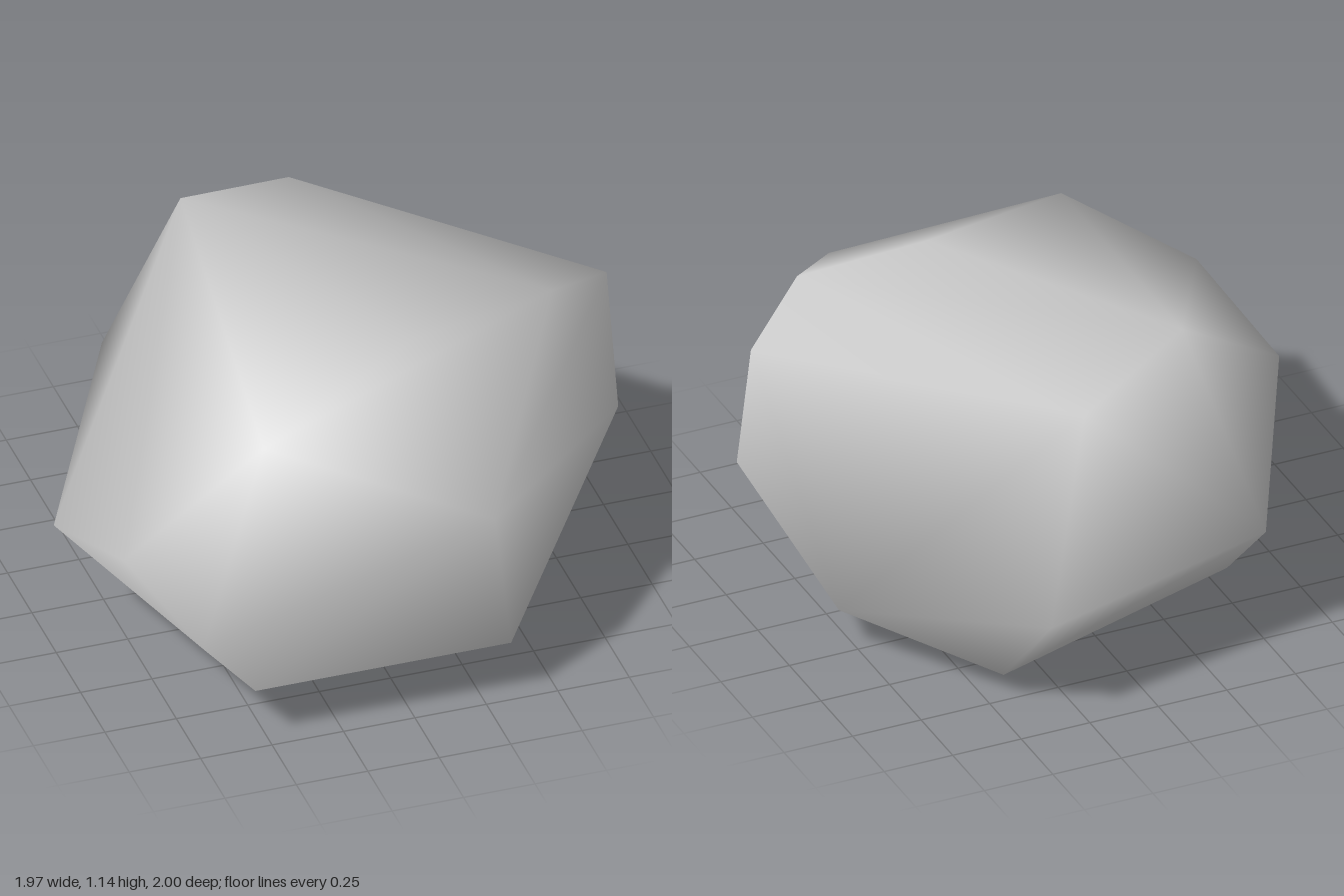
import * as THREE from 'three';
import { ConvexGeometry } from 'three/addons/geometries/ConvexGeometry.js';
import { mergeVertices } from 'three/addons/utils/BufferGeometryUtils.js';

// Corners on both sides of the notch at the back left
const backTip = [0.39, 0.40, -1.00];
const backCrown = [0.15, 1.02, -0.74];
const sideCrown = [0.97, 1.01, 0.12];
const sideFoot = [0.81, 0.155, -0.23];

// Corner points of the boulder, grouped by height
const crown = [
  [-0.29, 1.145, -0.56], backCrown, sideCrown,
  [0.71, 1.12, 0.32], [0.20, 1.085, 0.40], [-0.42, 0.96, 0.68],
];
const belt = [
  backTip, [0.98, 0.53, 0.21], [0.28, 0.73, 1.00],
  [-0.90, 0.60, 0.65], [-0.71, 0.37, 0.91], [-0.985, 0.46, 0.18], [-0.48, 0.45, -0.81],
];
const base = [
  [0.44, 0.085, -0.73], sideFoot, [0.34, 0.22, 0.99],
  [-0.55, 0.21, 0.975], [0.08, 0, 0.42], [-0.555, 0.035, -0.34],
];

// Swap one corner of the triangle that joins three given corners
function swapCorner(geometry, triangle, from, to) {
  const pos = geometry.attributes.position;
  const index = geometry.index;
  const find = (p) => {
    const target = new THREE.Vector3(...p);
    const v = new THREE.Vector3();
    for (let i = 0; i < pos.count; i++) {
      if (v.fromBufferAttribute(pos, i).distanceTo(target) < 0.001) return i;
    }
    return -1;
  };
  const ids = triangle.map(find);
  for (let t = 0; t < index.count; t += 3) {
    const corners = [0, 1, 2].map((k) => index.getX(t + k));
    if (!ids.every((id) => corners.includes(id))) continue;
    index.setX(t + corners.indexOf(find(from)), find(to));
  }
}

export function createModel() {
  const group = new THREE.Group();
  group.name = 'rock';
  const stone = new THREE.MeshStandardMaterial({ color: 0xcecece });
  stone.name = 'stone grey';

  // Hull of the corners
  const points = [...crown, ...belt, ...base].map((p) => new THREE.Vector3(...p));
  const hull = new ConvexGeometry(points);
  hull.deleteAttribute('normal');
  const geometry = mergeVertices(hull);

  // Notch: turn the ridge between the two high corners into a valley
  swapCorner(geometry, [backTip, sideCrown, backCrown], sideCrown, sideFoot);
  swapCorner(geometry, [backTip, sideCrown, sideFoot], backTip, backCrown);

  // Round, pebble-like shading: normals point away from the core
  const pos = geometry.attributes.position;
  const normals = new Float32Array(pos.count * 3);
  const n = new THREE.Vector3();
  for (let i = 0; i < pos.count; i++) {
    n.set(pos.getX(i), (pos.getY(i) - 0.5) * 1.4, pos.getZ(i)).normalize().toArray(normals, i * 3);
  }
  geometry.setAttribute('normal', new THREE.BufferAttribute(normals, 3));

  const boulder = new THREE.Mesh(geometry, stone);
  boulder.name = 'boulder';
  group.add(boulder);
  return group;
}
